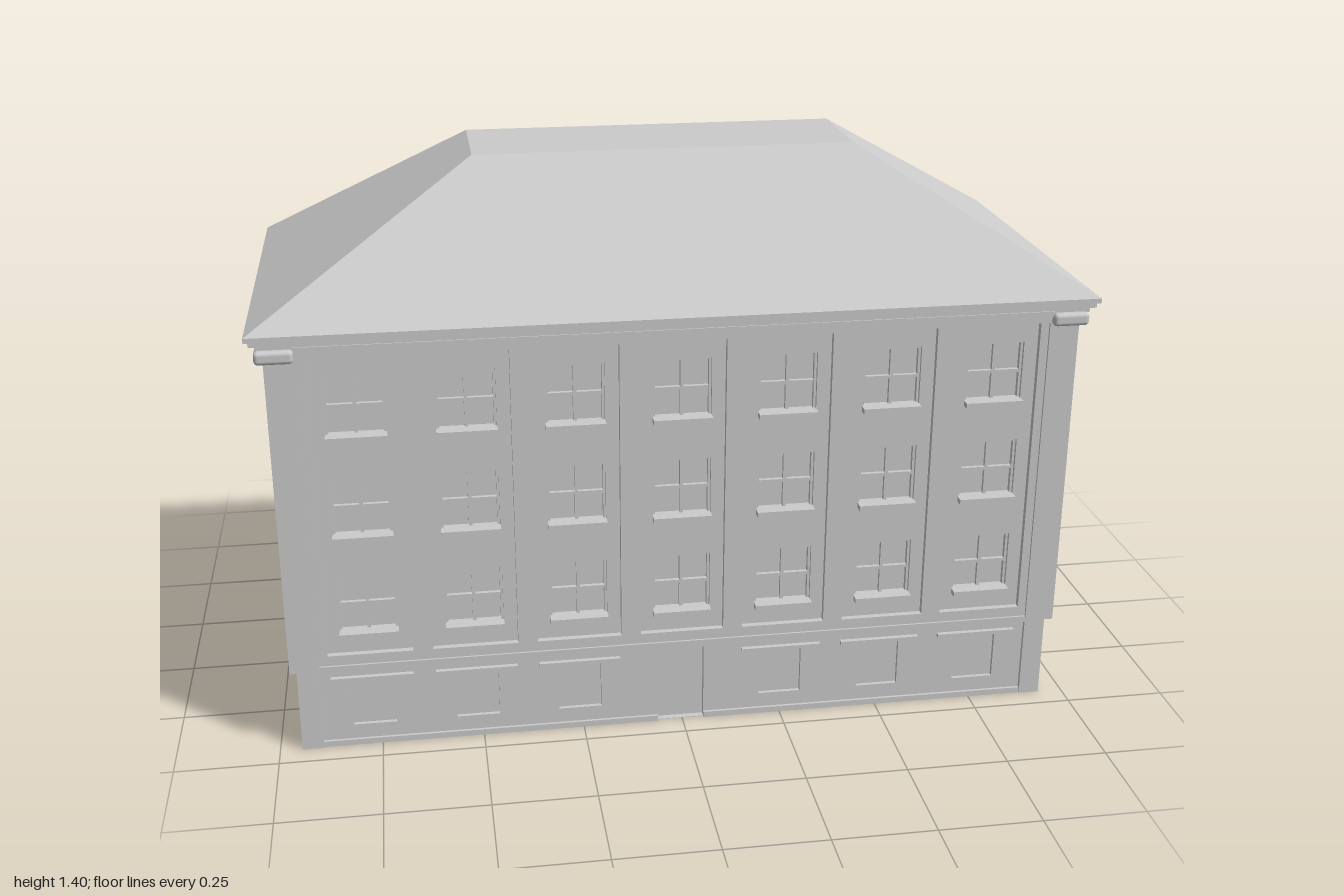
import * as THREE from 'three';
import { RoundedBoxGeometry } from 'three/addons/geometries/RoundedBoxGeometry.js';

const mat = new THREE.MeshStandardMaterial({ color: 0xcccccc, side: THREE.DoubleSide });
const BAY = 0.254;

function add(parent, name, geometry, x = 0, y = 0, z = 0) {
  const mesh = new THREE.Mesh(geometry, mat);
  mesh.name = name;
  mesh.position.set(x, y, z);
  parent.add(mesh);
  return mesh;
}

// Box given by its limits on each axis
function block(parent, name, x0, x1, y0, y1, z0, z1) {
  return add(parent, name, new THREE.BoxGeometry(x1 - x0, y1 - y0, z1 - z0),
    (x0 + x1) / 2, (y0 + y1) / 2, (z0 + z1) / 2);
}

// Upright slab with rectangular holes; its front lies at z = front
function slab(parent, name, rect, holes, front, depth) {
  const outline = ([x0, x1, y0, y1]) => [[x0, y0], [x1, y0], [x1, y1], [x0, y1]]
    .map(([x, y]) => new THREE.Vector2(x, y));
  const shape = new THREE.Shape(outline(rect));
  holes.forEach((h) => shape.holes.push(new THREE.Path(outline(h).reverse())));
  const geometry = new THREE.ExtrudeGeometry(shape, { depth, bevelEnabled: false });
  return add(parent, name, geometry, 0, 0, front - depth);
}

// Four-pane window with frame, glazing bars and sill
function upperWindow(parent, x, y) {
  const w = new THREE.Group();
  w.name = 'window';
  w.position.set(x, y, -0.015);
  const a = 0.07, b = 0.077, f = 0.006;
  slab(w, 'windowFrame', [-a, a, -b, b], [[-a + f, a - f, -b + f, b - f]], -0.008, 0.012);
  block(w, 'verticalBar', -0.004, 0.004, -b, b, -0.019, -0.009);
  block(w, 'crossBar', -a, a, -0.004, 0.004, -0.019, -0.009);
  block(w, 'glass', -a, a, -b, b, -0.026, -0.022);
  block(w, 'sill', -0.071, 0.071, -b - 0.004, -b + 0.009, -0.02, 0.022);
  parent.add(w);
}

// Upper storeys of one side: pilasters, recessed panels and three rows of windows
function upperWall(half, bays) {
  const g = new THREE.Group();
  g.name = 'upperWall';
  const panels = [], holes = [];
  for (let i = 0; i < bays; i++) {
    const x = (i - (bays - 1) / 2) * BAY;
    panels.push([x - 0.103, x + 0.103, 0.258, 1.02]);
    for (const y of [0.384, 0.638, 0.892]) {
      holes.push([x - 0.07, x + 0.07, y - 0.077, y + 0.077]);
      upperWindow(g, x, y);
    }
  }
  slab(g, 'pilasters', [-half, half, 0.225, 1.05], panels, 0, 0.015);
  slab(g, 'recessedPanels', [-half, half, 0.225, 1.05], holes, -0.015, 0.012);
  block(g, 'stringCourse', -half, half, 0.216, 0.232, -0.03, 0.005);
  block(g, 'architrave', -half, half, 1.02, 1.034, -0.015, 0.007);
  block(g, 'frieze', -half, half, 1.034, 1.05, -0.015, 0.012);
  return g;
}

// Ground storey of one side, with hooded windows and an optional middle door
function groundWall(half, bays, hasDoor) {
  const g = new THREE.Group();
  g.name = 'groundWall';
  const holes = [];
  for (let i = 0; i < bays; i++) {
    const x = (i - (bays - 1) / 2) * BAY;
    if (hasDoor && i === (bays - 1) / 2) {
      holes.push([x - 0.058, x + 0.058, 0.001, 0.2]);
      block(g, 'door', x - 0.058, x + 0.058, 0, 0.2, -0.024, -0.016);
      continue;
    }
    holes.push([x - 0.053, x + 0.053, 0.053, 0.187]);
    block(g, 'groundWindow', x - 0.053, x + 0.053, 0.053, 0.187, -0.016, -0.01);
    block(g, 'windowHood', x - 0.1, x + 0.1, 0.181, 0.19, -0.01, 0.012);
  }
  slab(g, 'groundFacing', [-half, half, 0, 0.225], holes, 0, 0.015);
  const spans = hasDoor ? [[-half, -0.058], [0.058, half]] : [[-half, half]];
  spans.forEach(([a, b]) => block(g, 'plinth', a, b, 0, 0.015, -0.01, 0.007));
  return g;
}

// Hipped roof cut off flat at the top
function hippedRoof() {
  const ring = (x, y, z) => [[-x, y, z], [x, y, z], [x, y, -z], [-x, y, -z]];
  const low = ring(1, 1.078, 0.47), high = ring(0.465, 1.4, 0.14);
  const points = [];
  const quad = (a, b, c, d) => points.push(...a, ...b, ...c, ...a, ...c, ...d);
  for (let i = 0; i < 4; i++) {
    const j = (i + 1) % 4;
    quad(low[i], low[j], high[j], high[i]);
  }
  quad(...high);
  const geometry = new THREE.BufferGeometry();
  geometry.setAttribute('position', new THREE.Float32BufferAttribute(points, 3));
  geometry.computeVertexNormals();
  return geometry;
}

export function createModel() {
  const model = new THREE.Group();
  model.name = 'building';
  const body = new THREE.Group();
  body.name = 'body';
  body.position.set(-0.004, 0, 0.008);
  model.add(body);

  // Four sides: long front and back, short ends
  for (let i = 0; i < 4; i++) {
    const long = i % 2 === 0;
    const side = new THREE.Group();
    side.name = ['frontSide', 'leftSide', 'backSide', 'rightSide'][i];
    side.rotation.y = i * Math.PI / 2;
    const upper = upperWall(long ? 0.89 : 0.385, long ? 7 : 3);
    upper.position.z = long ? 0.446 : 0.951;
    const ground = groundWall(long ? 0.895 : 0.39, long ? 7 : 3, long);
    ground.position.z = long ? 0.427 : 0.932;
    side.add(upper, ground);
    body.add(side);
  }

  // Corner posts, piers and capitals
  for (const sx of [-1, 1]) {
    for (const sz of [-1, 1]) {
      const corner = new THREE.Group();
      corner.name = 'corner';
      add(corner, 'groundPost', new THREE.BoxGeometry(0.052, 0.22, 0.052), sx * 0.916, 0.11, sz * 0.411);
      add(corner, 'upperPier', new THREE.BoxGeometry(0.072, 0.83, 0.072), sx * 0.921, 0.635, sz * 0.416);
      add(corner, 'capital', new RoundedBoxGeometry(0.088, 0.032, 0.088, 2, 0.01), sx * 0.932, 1.03, sz * 0.427);
      body.add(corner);
    }
  }

  // Eaves and roof
  block(model, 'eavesMoulding', -0.975, 0.975, 1.044, 1.056, -0.455, 0.463);
  block(model, 'eavesBoard', -0.99, 0.99, 1.055, 1.068, -0.465, 0.467);
  block(model, 'roofEdge', -1, 1, 1.066, 1.078, -0.47, 0.47);
  add(model, 'roof', hippedRoof());
  return model;
}
